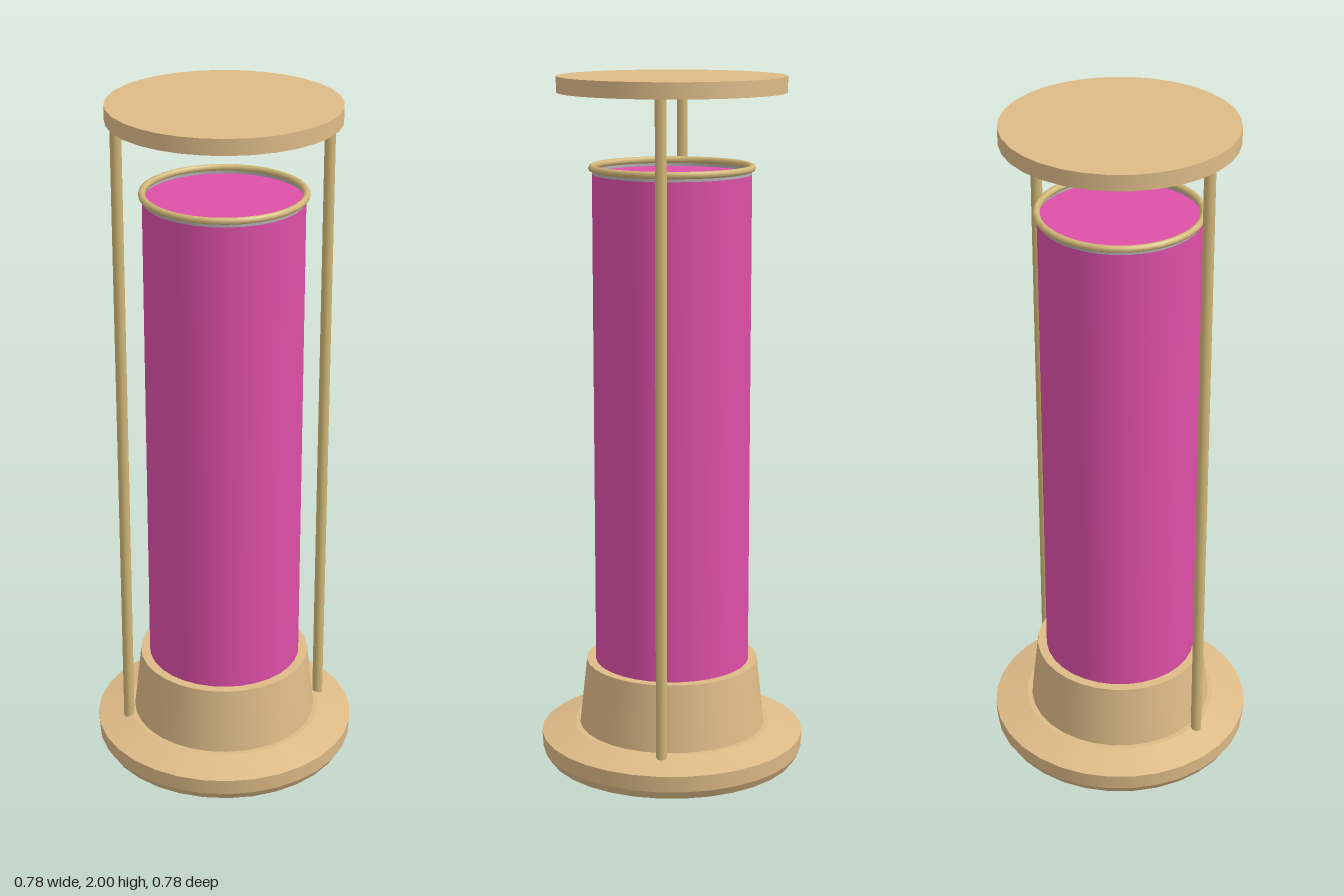
import * as THREE from 'three';

const SEG = 32;

function material(name, color, side = THREE.FrontSide) {
  const m = new THREE.MeshStandardMaterial({ color, side });
  m.name = name;
  return m;
}

export function createModel() {
  const model = new THREE.Group();
  model.name = 'cylinderLamp';

  const wood = material('paleWood', 0xdebb87);
  const brass = material('brass', 0xd2b878);
  const pink = material('pinkTube', 0xde4fa8);
  const grey = material('greyGlass', 0xb4aeb0, THREE.DoubleSide);

  const add = (name, geometry, mat, x = 0, y = 0) => {
    const mesh = new THREE.Mesh(geometry, mat);
    mesh.name = name;
    mesh.position.set(x, y, 0);
    model.add(mesh);
    return mesh;
  };
  const cylinder = (rTop, rBottom, y0, y1, seg = SEG, open = false) =>
    new THREE.CylinderGeometry(rTop, rBottom, y1 - y0, seg, 1, open).translate(0, (y0 + y1) / 2, 0);

  // Base plate: each band of the profile is its own lathe so its edges stay crisp
  const profile = [[0, 0], [0.37, 0], [0.385, 0.025], [0.388, 0.073], [0.29, 0.098], [0, 0.1]];
  const base = new THREE.Group();
  base.name = 'base';
  for (let i = 0; i < profile.length - 1; i++) {
    const points = [profile[i], profile[i + 1]].map(([r, y]) => new THREE.Vector2(r, y));
    const band = new THREE.Mesh(new THREE.LatheGeometry(points, SEG), wood);
    band.name = 'baseBand';
    base.add(band);
  }
  model.add(base);

  // Tapered collar holding the tube
  add('collar', cylinder(0.253, 0.275, 0.095, 0.295), wood);

  // Coloured tube, glass lip and rim ring
  add('tube', cylinder(0.226, 0.226, 0.28, 1.727), pink);
  add('glassLip', cylinder(0.226, 0.226, 1.727, 1.742, SEG, true), grey);
  add('rimRing', new THREE.TorusGeometry(0.227, 0.01, 8, SEG).rotateX(Math.PI / 2), brass, 0, 1.745);

  // Side rods
  for (const side of [1, -1]) {
    add(side > 0 ? 'leftRod' : 'rightRod', cylinder(0.016, 0.016, 0.09, 1.96, 8), brass, side * 0.298);
  }

  // Top disc
  add('topDisc', cylinder(0.324, 0.324, 1.955, 2), wood);

  return model;
}
